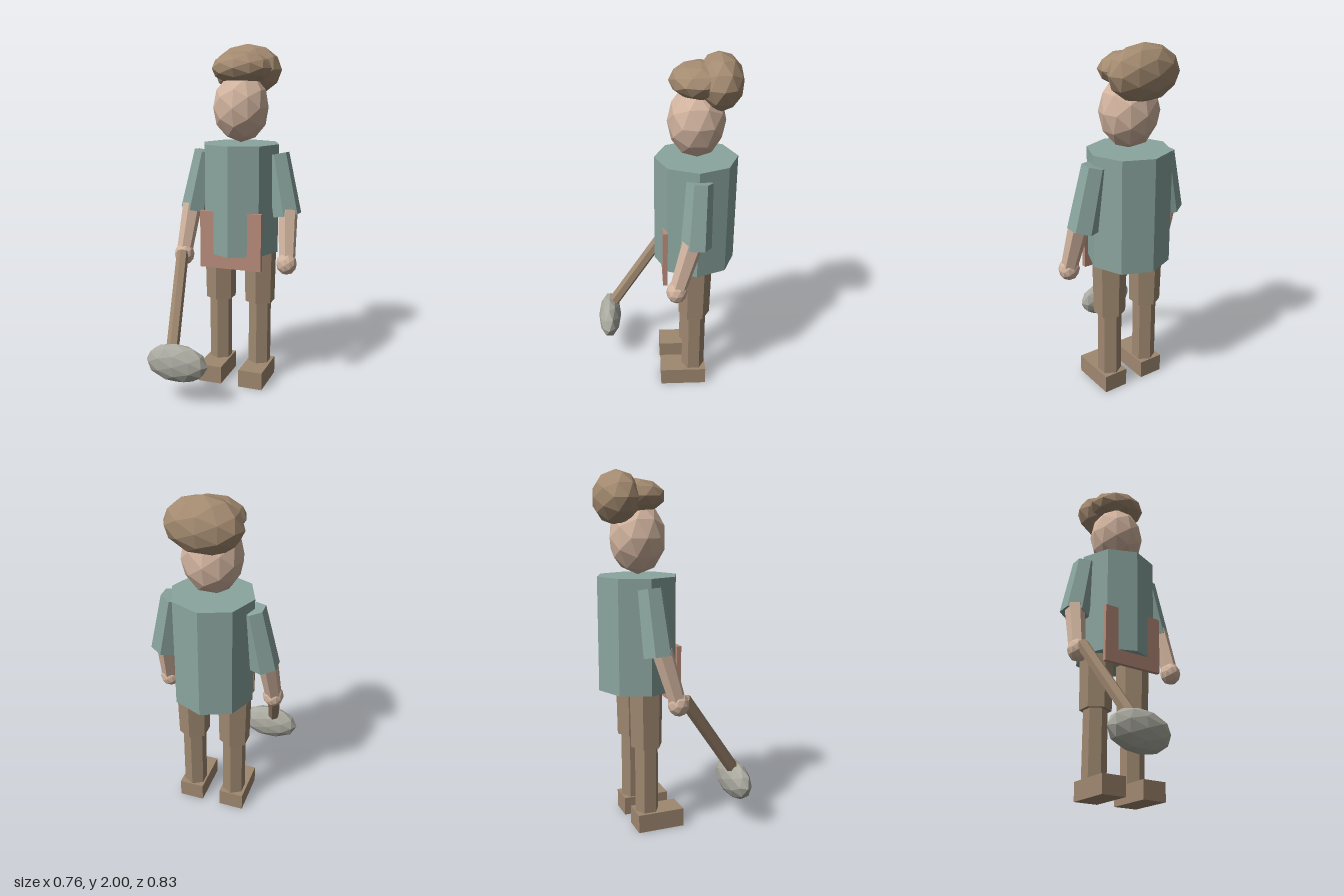
import * as THREE from 'three';

const flat = (name, color) => new THREE.MeshStandardMaterial({ name, color, flatShading: true });

export function createModel() {
  const skin = flat('skin', 0xd3b5a0);
  const shirt = flat('shirtTeal', 0x8ba59f);
  const brown = flat('trouserBrown', 0x9f8870);
  const hair = flat('capBrown', 0xa38a70);
  const apron = flat('apronRust', 0xb88c7a);
  const stone = flat('stoneGrey', 0xa9a99f);

  const model = new THREE.Group();
  model.name = 'worker';

  const add = (name, geometry, material, x = 0, y = 0, z = 0) => {
    const mesh = new THREE.Mesh(geometry, material);
    mesh.name = name;
    mesh.position.set(x, y, z);
    model.add(mesh);
    return mesh;
  };

  // Faceted ellipsoid
  const blob = (name, material, [x, y, z], [rx, ry, rz]) =>
    add(name, new THREE.IcosahedronGeometry(1, 1).scale(rx, ry, rz), material, x, y, z);

  // Tapered six-sided limb running from a top point to a bottom point
  const limb = (name, material, top, bottom, rTop, rBottom) => {
    const a = new THREE.Vector3(...top);
    const b = new THREE.Vector3(...bottom);
    const dir = a.clone().sub(b);
    const mid = a.clone().add(b).multiplyScalar(0.5);
    const mesh = add(name, new THREE.CylinderGeometry(rTop, rBottom, dir.length(), 6), material, mid.x, mid.y, mid.z);
    mesh.quaternion.setFromUnitVectors(new THREE.Vector3(0, 1, 0), dir.normalize());
    return mesh;
  };

  // Torso and apron plate, which the torso's front edge pokes through
  add('torso', new THREE.CylinderGeometry(0.23, 0.23, 0.635, 8), shirt, 0, 1.1175, -0.175);
  add('apron', new THREE.BoxGeometry(0.37, 0.335, 0.026), apron, 0, 0.888, 0);

  // Head and two-part cap
  blob('head', skin, [0, 1.64, -0.172], [0.165, 0.2, 0.158]);
  blob('capFront', hair, [0, 1.86, -0.185], [0.178, 0.095, 0.165]);
  blob('capBack', hair, [0, 1.852, -0.29], [0.208, 0.148, 0.125]);

  // Arms and legs, mirrored
  for (const [side, s] of [['left', 1], ['right', -1]]) {
    limb(side + 'Sleeve', shirt, [s * 0.22, 1.38, -0.178], [s * 0.29, 1.03, -0.16], 0.071, 0.084);
    limb(side + 'Forearm', skin, [s * 0.298, 1.06, -0.142], [s * 0.32, 0.78, -0.062], 0.058, 0.047);
    blob(side + 'Hand', skin, [s * 0.318, 0.767, -0.057], [0.06, 0.066, 0.059]);
    limb(side + 'Thigh', brown, [s * 0.125, 0.85, -0.172], [s * 0.125, 0.49, -0.172], 0.097, 0.09);
    limb(side + 'Shin', brown, [s * 0.125, 0.5, -0.172], [s * 0.125, 0.1, -0.172], 0.068, 0.068);
    add(side + 'Boot', new THREE.BoxGeometry(0.145, 0.105, 0.27), brown, s * 0.128, 0.0525, -0.11);
  }

  // Long-handled stone mallet in the right hand
  limb('malletHandle', brown, [-0.313, 0.79, -0.02], [-0.228, 0.3, 0.335], 0.036, 0.036);
  blob('malletHead', stone, [-0.198, 0.245, 0.342], [0.187, 0.113, 0.071]);

  return model;
}
